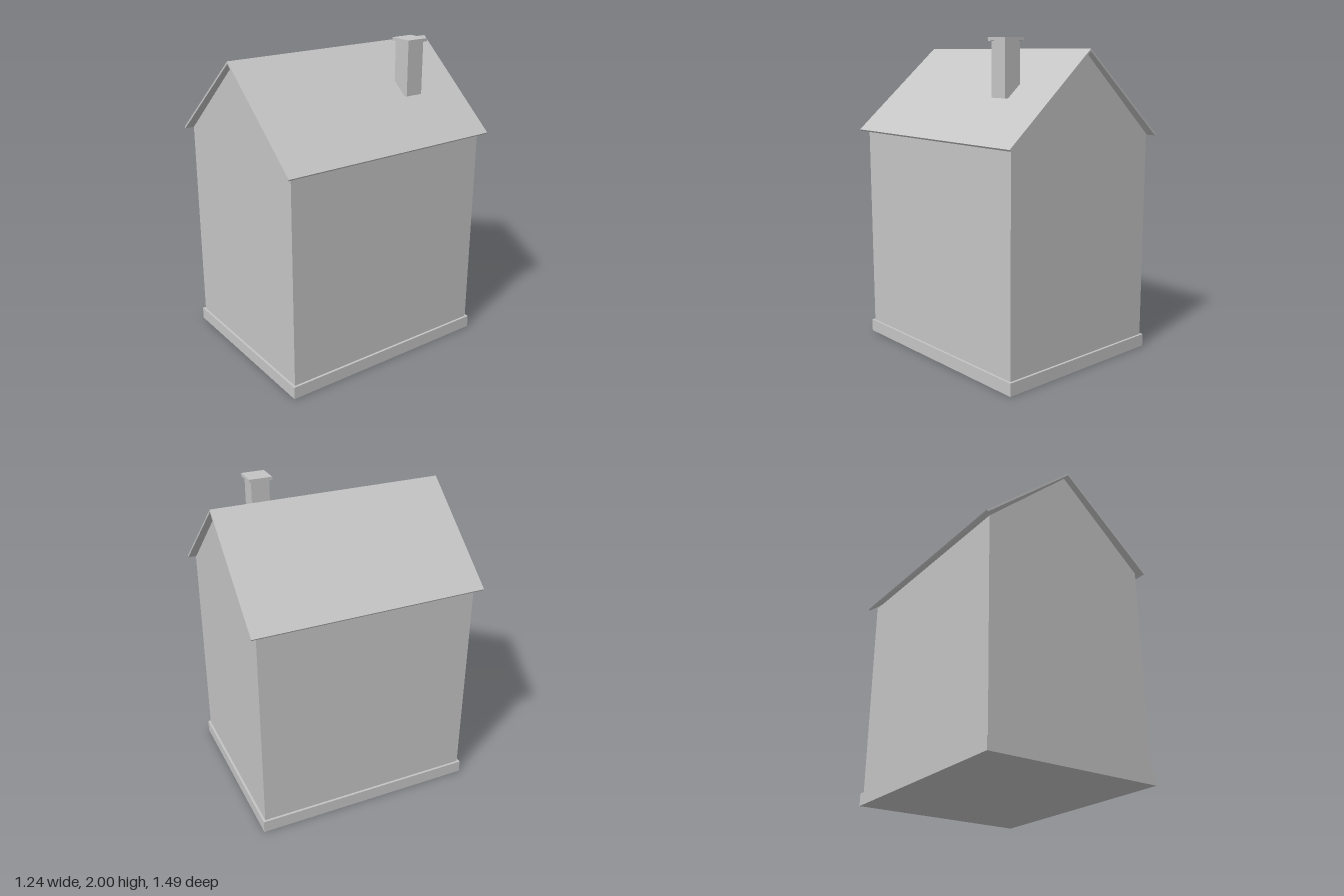
import * as THREE from 'three';

export function createModel() {
  const house = new THREE.Group();
  house.name = 'house';
  const plaster = new THREE.MeshStandardMaterial({ color: 0xc4c4c4 });
  plaster.name = 'light grey';

  function add(name, geometry, x = 0, y = 0, z = 0) {
    const mesh = new THREE.Mesh(geometry, plaster);
    mesh.name = name;
    mesh.position.set(x, y, z);
    house.add(mesh);
  }

  // Outline in x and y, extruded evenly to both sides of z = 0
  function prism(points, depth) {
    const shape = new THREE.Shape(points.map(([x, y]) => new THREE.Vector2(x, y)));
    return new THREE.ExtrudeGeometry(shape, { depth, bevelEnabled: false }).translate(0, 0, -depth / 2);
  }

  // Plinth
  add('foundation', new THREE.BoxGeometry(1.18, 0.08, 1.436), 0, 0.04, 0);

  // Walls with both gables
  add('walls', prism([[-0.575, 0.08], [0.575, 0.08], [0.575, 1.41], [0, 1.92], [-0.575, 1.41]], 1.406));

  // Thin roof slabs meeting at the ridge, with square-cut eaves
  for (const [name, s] of [['leftRoof', 1], ['rightRoof', -1]]) {
    add(name, prism([[0, 1.921], [s * 0.614, 1.398], [s * 0.622, 1.408], [0, 1.936]], 1.49));
  }

  // Chimney and its cap
  add('chimney', new THREE.BoxGeometry(0.118, 0.327, 0.118), 0.298, 1.8165, -0.352);
  add('chimneyCap', new THREE.BoxGeometry(0.148, 0.02, 0.148), 0.298, 1.99, -0.352);

  return house;
}
